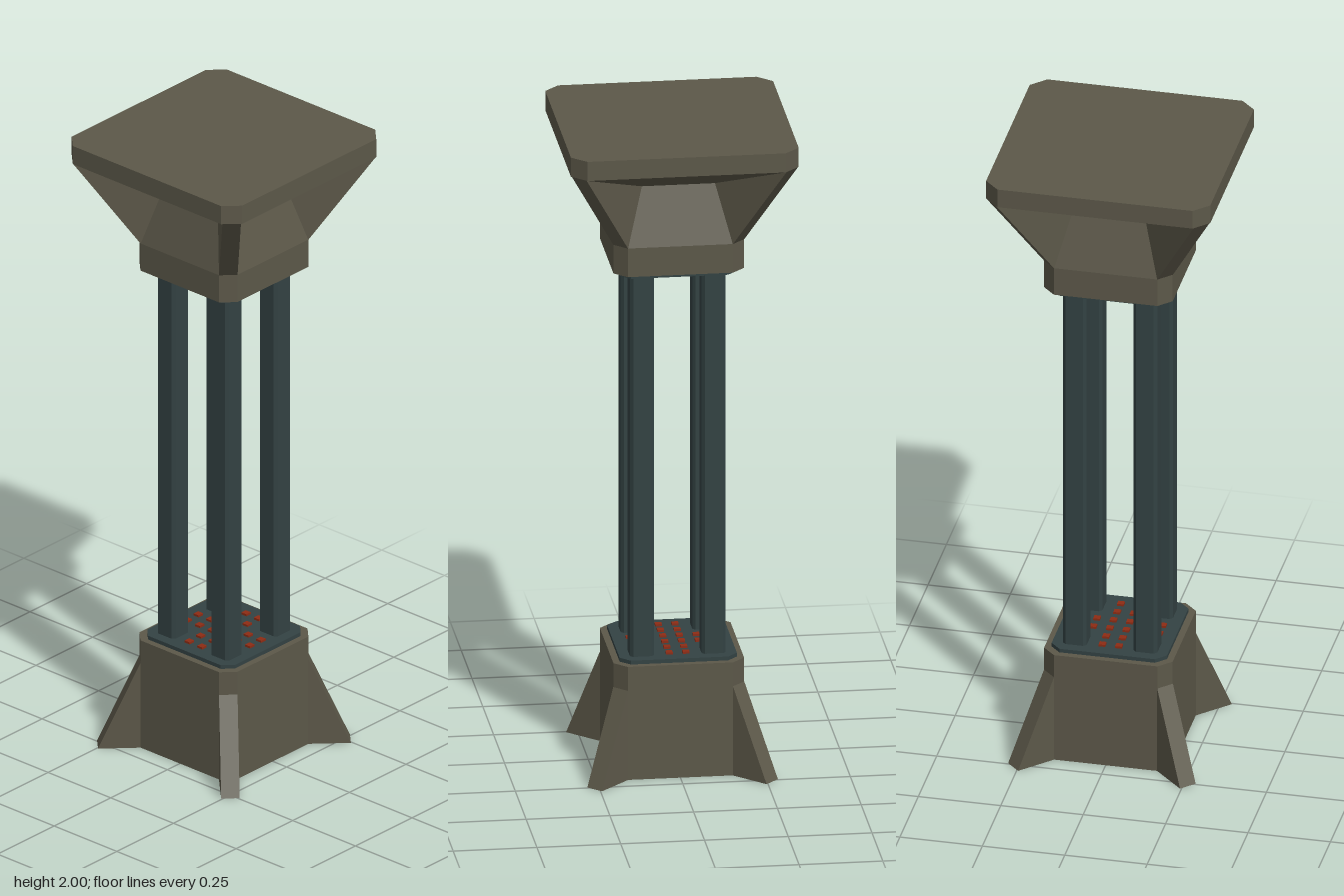
import * as THREE from 'three';

const mat = (name, color) => {
  const m = new THREE.MeshStandardMaterial({ color });
  m.name = name;
  return m;
};

// Square outline with cut corners: h = half width, c = half length of the straight side
const ring = (h, c, y) =>
  [[c, h], [h, c], [h, -c], [c, -h], [-c, -h], [-h, -c], [-h, c], [-c, h]].map(([x, z]) => [x, y, z]);

// Flat-shaded solid through a stack of [h, c, y] sections, bottom to top
function loft(sections) {
  const rings = sections.map((s) => ring(...s));
  const pos = [];
  const tri = (...pts) => pts.forEach((p) => pos.push(...p));
  for (let k = 0; k < rings.length - 1; k++) {
    for (let i = 0; i < 8; i++) {
      const j = (i + 1) % 8;
      const [a, b, c, d] = [rings[k][i], rings[k][j], rings[k + 1][j], rings[k + 1][i]];
      tri(a, b, c);
      tri(a, c, d);
    }
  }
  const low = rings[0], top = rings[rings.length - 1];
  for (let i = 1; i < 7; i++) {
    tri(low[0], low[i + 1], low[i]);
    tri(top[0], top[i], top[i + 1]);
  }
  const g = new THREE.BufferGeometry();
  g.setAttribute('position', new THREE.Float32BufferAttribute(pos, 3));
  g.computeVertexNormals();
  return g;
}

// Slab with a radial profile (distance from axis, height), to be turned to a corner
function finGeometry(profile) {
  const depth = 0.055;
  const shape = new THREE.Shape(profile.map(([r, y]) => new THREE.Vector2(r * Math.SQRT2, y)));
  return new THREE.ExtrudeGeometry(shape, { depth, bevelEnabled: false }).translate(0, 0, -depth / 2);
}

export function createModel() {
  const stone = mat('olive stone', 0x5c5849);
  const steel = mat('dark teal steel', 0x334243);
  const glow = mat('dull red light', 0x8e2c14);

  const model = new THREE.Group();
  model.name = 'pillar';
  const add = (name, geometry, material) => {
    const mesh = new THREE.Mesh(geometry, material);
    mesh.name = name;
    model.add(mesh);
    return mesh;
  };

  // Base block and capital with its waist and flared top slab
  add('baseBlock', loft([[0.195, 0.157, 0], [0.195, 0.157, 0.355]]), stone);
  add('capital', loft([
    [0.195, 0.157, 1.58], [0.195, 0.157, 1.67], [0.148, 0.11, 1.847],
    [0.34, 0.296, 1.94], [0.34, 0.296, 2],
  ]), stone);

  // Diagonal buttress fins on the four corners
  const baseFin = finGeometry([[0.1, 0], [0.265, 0], [0.176, 0.28], [0.1, 0.28]]);
  const capitalFin = finGeometry([[0.09, 1.67], [0.176, 1.67], [0.26, 1.83], [0.318, 1.94], [0.09, 1.94]]);
  for (let i = 0; i < 4; i++) {
    const turn = Math.PI / 4 + (i * Math.PI) / 2;
    add('baseFin', baseFin, stone).rotation.y = turn;
    add('capitalFin', capitalFin, stone).rotation.y = turn;
  }

  // Rim plates that hold the columns
  add('lowerPlate', loft([[0.175, 0.145, 0.355], [0.175, 0.145, 0.367]]), steel);
  add('upperPlate', loft([[0.175, 0.145, 1.567], [0.175, 0.145, 1.58]]), steel);

  // Four columns with cut edges
  const column = loft([[0.036, 0.027, 0.367], [0.036, 0.027, 1.567]]);
  for (const x of [-0.107, 0.107]) {
    for (const z of [-0.107, 0.107]) add('column', column, steel).position.set(x, 0, z);
  }

  // Small lights in the cross-shaped gap between the columns, on both plates
  const light = new THREE.BoxGeometry(0.02, 0.007, 0.02);
  const steps = [-0.125, -0.075, -0.025, 0.025, 0.075, 0.125];
  for (const x of steps) {
    for (const z of steps) {
      if (Math.abs(x) > 0.05 && Math.abs(z) > 0.05) continue;
      add('lowerLight', light, glow).position.set(x, 0.37, z);
      add('upperLight', light, glow).position.set(x, 1.564, z);
    }
  }
  return model;
}
